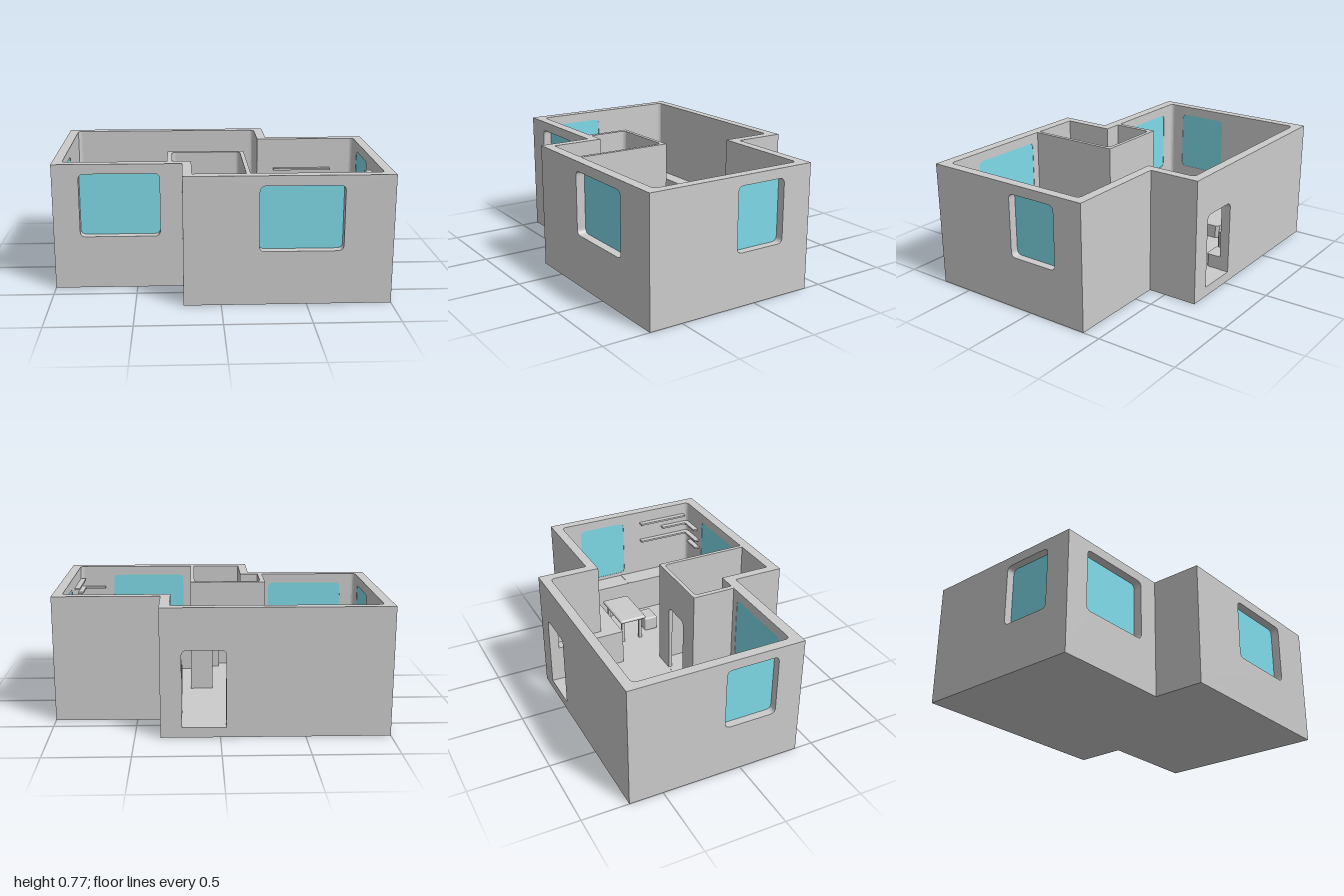
import * as THREE from 'three';
import { RoundedBoxGeometry } from 'three/addons/geometries/RoundedBoxGeometry.js';

const FLOOR = 0.06, TOP = 0.775;

export function createModel() {
  const group = new THREE.Group();
  const grey = new THREE.MeshStandardMaterial({ color: 0xcccccc });
  const glass = new THREE.MeshStandardMaterial({ color: 0x7edae8 });

  const add = (name, geo, mat = grey) => {
    const mesh = new THREE.Mesh(geo, mat);
    mesh.name = name;
    group.add(mesh);
    return mesh;
  };

  // Box given by its minimum and maximum corners
  const box = (name, x0, x1, y0, y1, z0, z1) =>
    add(name, new THREE.BoxGeometry(x1 - x0, y1 - y0, z1 - z0))
      .position.set((x0 + x1) / 2, (y0 + y1) / 2, (z0 + z1) / 2);

  // Rectangle path; rb and rt are the bottom and top corner radii
  const rect = (path, x0, x1, y0, y1, rb = 0, rt = rb) => {
    path.moveTo(x0 + rb, y0);
    path.lineTo(x1 - rb, y0);
    if (rb) path.quadraticCurveTo(x1, y0, x1, y0 + rb);
    path.lineTo(x1, y1 - rt);
    if (rt) path.quadraticCurveTo(x1, y1, x1 - rt, y1);
    path.lineTo(x0 + rt, y1);
    if (rt) path.quadraticCurveTo(x0, y1, x0, y1 - rt);
    path.lineTo(x0, y0 + rb);
    if (rb) path.quadraticCurveTo(x0, y0, x0 + rb, y0);
    return path;
  };
  const extrude = (shape, depth) =>
    new THREE.ExtrudeGeometry(shape, { depth, bevelEnabled: false, curveSegments: 6 });

  // Plan outline [x, z] raised from y0 to y1
  const plan = (name, points, y0, y1, holes = []) => {
    const shape = new THREE.Shape(points.map(([x, z]) => new THREE.Vector2(x, -z)));
    for (const [x0, x1, z0, z1] of holes) shape.holes.push(rect(new THREE.Path(), x0, x1, -z1, -z0));
    const mesh = add(name, extrude(shape, y1 - y0).rotateX(-Math.PI / 2));
    mesh.position.y = y0;
  };

  // Wall along x or z, with an optional opening; pane is the glass offset
  const wall = (name, axis, from, to, near, far, opening) => {
    const alongX = axis === 'x';
    const place = (mesh, at) => {
      if (alongX) mesh.position.z = at;
      else { mesh.rotation.y = Math.PI / 2; mesh.position.x = at; }
    };
    const span = (a, b) => (alongX ? [a, b] : [-b, -a]);
    const shape = rect(new THREE.Shape(), ...span(from, to), FLOOR, TOP);
    if (opening) {
      const { a, b, door, pane } = opening;
      const size = [...span(a, b), door ? FLOOR + 0.001 : 0.325, door ? 0.525 : 0.715, door ? 0 : 0.035, 0.035];
      shape.holes.push(rect(new THREE.Path(), ...size));
      if (!door) place(add(name + 'Glass', extrude(rect(new THREE.Shape(), ...size), 0.008), glass), pane);
    }
    place(add(name, extrude(shape, far - near)), near);
  };

  // Floor slab
  plan('floor', [[-1, -0.71], [0.35, -0.71], [0.35, -0.39], [1, -0.39], [1, 0.71],
    [-0.22, 0.71], [-0.22, 0.385], [-1, 0.385]], 0, FLOOR);

  // Outer walls
  wall('backWall', 'x', -1, 0.35, -0.71, -0.65, { a: -0.035, b: 0.225, door: true });
  wall('kitchenBackWall', 'x', 0.29, 1, -0.39, -0.33);
  wall('livingFrontWall', 'x', -1, -0.165, 0.32, 0.385, { a: -0.84, b: -0.355, pane: 0.322 });
  wall('kitchenFrontWall', 'x', -0.22, 1, 0.645, 0.71, { a: 0.22, b: 0.71, pane: 0.647 });
  wall('rightWall', 'z', -0.65, 0.32, -1, -0.94, { a: -0.11, b: 0.22, pane: -0.95 });
  wall('leftWall', 'z', -0.33, 0.645, 0.94, 1, { a: -0.195, b: 0.13, pane: 0.942 });
  wall('entryReturnWall', 'z', -0.65, -0.39, 0.29, 0.35);
  wall('bathroomOuterWall', 'z', 0.385, 0.645, -0.22, -0.165);

  // Bathroom partitions
  wall('bathroomDoorWall', 'x', -0.31, 0.17, 0.045, 0.07, { a: -0.17, b: 0.03, door: true });
  wall('bathroomSideWall', 'z', 0.07, 0.645, 0.145, 0.17);
  wall('alcoveWall', 'z', 0.07, 0.32, -0.31, -0.28);

  // Rounded inner wall corners
  const r = 0.025;
  for (const [x, z, sx, sz] of [[-0.94, -0.65, 1, 1], [-0.94, 0.32, 1, -1], [0.29, -0.65, -1, 1],
    [0.94, -0.33, -1, 1], [0.94, 0.645, -1, -1], [-0.28, 0.07, 1, 1], [0.145, 0.07, -1, 1]]) {
    const pts = [[x, z]];
    for (let i = 0; i <= 4; i++) {
      const t = (i / 4) * Math.PI / 2;
      pts.push([x + sx * r * (1 - Math.sin(t)), z + sz * r * (1 - Math.cos(t))]);
    }
    plan('cornerFillet', pts, FLOOR, TOP);
  }

  // Wraparound sofa: low seat with a long tongue, and its back
  plan('sofaSeat', [[-0.94, -0.65], [-0.04, -0.65], [-0.04, -0.565], [-0.055, -0.55], [-0.78, -0.55],
    [-0.78, -0.41], [-0.76, -0.39], [-0.47, -0.39], [-0.45, -0.37], [-0.45, -0.155], [-0.47, -0.135],
    [-0.76, -0.135], [-0.78, -0.115], [-0.78, 0.17], [-0.76, 0.19], [-0.44, 0.19], [-0.42, 0.17],
    [-0.42, 0.08], [-0.405, 0.065], [-0.31, 0.065], [-0.31, 0.32], [-0.94, 0.32]], FLOOR, 0.145);
  plan('sofaBack', [[-0.94, -0.65], [-0.165, -0.65], [-0.165, -0.565], [-0.18, -0.55], [-0.89, -0.55],
    [-0.905, -0.535], [-0.905, 0.27], [-0.89, 0.285], [-0.48, 0.285], [-0.48, 0.32], [-0.94, 0.32]], 0.145, 0.25);

  // Kitchen counter running round the walls, with a sink well
  plan('kitchenCounter', [[0.225, -0.65], [0.29, -0.65], [0.29, -0.33], [0.94, -0.33], [0.94, 0.645],
    [0.17, 0.645], [0.17, 0.51], [0.805, 0.51], [0.805, -0.2], [0.225, -0.2]], FLOOR, 0.3,
  [[0.44, 0.565, 0.525, 0.62]]);
  box('kitchenSinkBottom', 0.44, 0.565, 0.25, 0.26, 0.525, 0.62);
  box('counterStrip', 0.805, 0.94, 0.3, 0.303, 0.1, 0.125);

  // Table and stool
  const block = (name, w, h, d, x, y, z, radius) =>
    add(name, new RoundedBoxGeometry(w, h, d, 3, radius)).position.set(x, y, z);
  block('tableTop', 0.32, 0.025, 0.19, 0.58, 0.235, -0.035, 0.012);
  for (const x of [0.46, 0.7]) for (const z of [-0.1, 0.03])
    box('tableLeg', x - 0.01, x + 0.01, FLOOR, 0.23, z - 0.01, z + 0.01);
  block('stool', 0.13, 0.1, 0.095, 0.575, 0.11, 0.142, 0.01);

  // Wall shelves
  const shelf = (x0, x1, z0, z1, y) => box('shelf', x0, x1, y - 0.006, y + 0.006, z0, z1);
  shelf(0.905, 0.94, 0.26, 0.61, 0.69);
  for (const [x, z, y] of [[0.77, 0.43, 0.63], [0.745, 0.26, 0.555]]) {
    shelf(0.905, 0.94, z, 0.645, y);
    shelf(x, 0.905, 0.61, 0.645, y);
  }
  shelf(0.74, 0.88, 0.61, 0.645, 0.5);
  shelf(0.4, 0.785, -0.33, -0.3, 0.57);
  shelf(0.54, 0.785, -0.33, -0.3, 0.5);

  // Alcove cabinet with a framed front
  box('alcoveCabinet', -0.28, -0.24, FLOOR, 0.57, 0.105, 0.3);
  for (const z of [0.105, 0.27]) box('cabinetSide', -0.24, -0.17, FLOOR, 0.57, z, z + 0.03);
  for (const y of [0.1, 0.26, 0.42]) box('cabinetShelf', -0.24, -0.18, y, y + 0.012, 0.135, 0.27);

  // Toilet
  const bowl = add('toiletBowl', new THREE.CylinderGeometry(0.05, 0.03, 0.09, 24));
  bowl.scale.z = 0.75;
  bowl.position.set(0.08, FLOOR + 0.045, 0.288);
  block('toiletTank', 0.025, 0.17, 0.075, 0.132, 0.145, 0.288, 0.005);

  // Washbasin: rim, bowl floor and pedestal
  plan('washbasin', [[-0.06, 0.54], [0.05, 0.54], [0.05, 0.625], [-0.06, 0.625]], 0.23, 0.27,
    [[-0.05, 0.04, 0.55, 0.6]]);
  box('washbasinBottom', -0.05, 0.04, 0.23, 0.24, 0.55, 0.6);
  box('washbasinPedestal', -0.025, 0.015, FLOOR, 0.23, 0.57, 0.645);

  // Curved taps
  for (const [x, y] of [[-0.005, 0.27], [0.5, 0.3]]) {
    const path = new THREE.CatmullRomCurve3([[0, 0.628], [0.04, 0.628], [0.055, 0.61], [0.045, 0.58]]
      .map(([h, z]) => new THREE.Vector3(x, y + h, z)));
    add('tap', new THREE.TubeGeometry(path, 12, 0.004, 8));
    box('tapHandle', x - 0.02, x + 0.02, y, y + 0.012, 0.622, 0.634);
  }
  return group;
}
